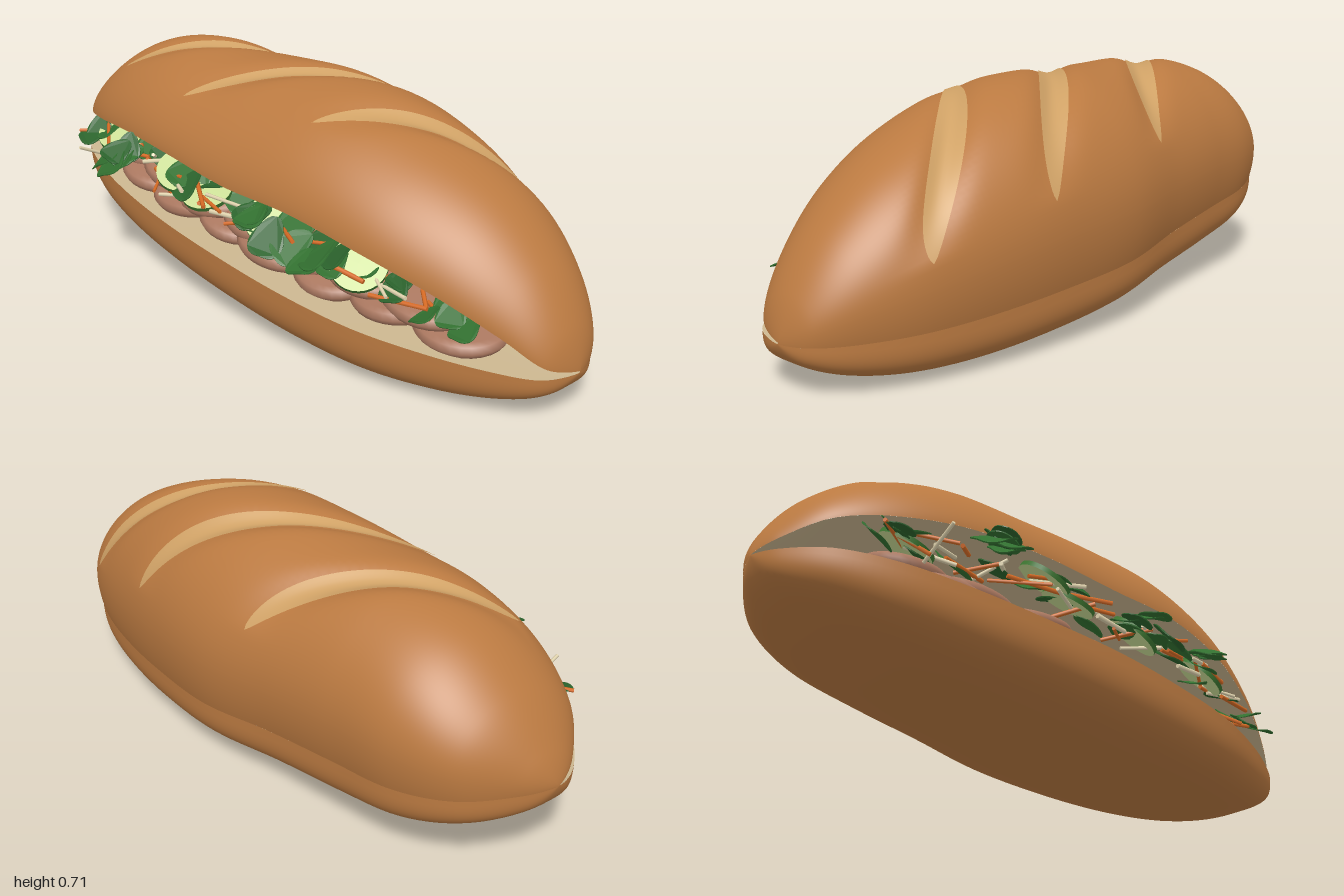
import * as THREE from 'three';

const mat = (name, color, side = THREE.FrontSide) => {
  const m = new THREE.MeshStandardMaterial({ color, side });
  m.name = name;
  return m;
};

// Loaf measurements at 13 stations spaced evenly by angle, x = -cos(pi t)
const LOAF = {
  top: [.31, .40, .53, .64, .69, .695, .71, .70, .635, .54, .41, .27, .15],
  lipTop: [.31, .34, .395, .43, .455, .455, .44, .44, .40, .335, .255, .18, .15],
  lipBase: [.31, .305, .30, .285, .265, .245, .228, .205, .185, .17, .158, .15, .145],
  seam: [.31, .30, .285, .265, .245, .22, .195, .18, .165, .155, .15, .147, .145],
  bottom: [.31, .24, .18, .125, .085, .055, .03, .01, .003, .015, .045, .09, .145],
  back: [0, -.10, -.24, -.32, -.35, -.38, -.425, -.42, -.39, -.34, -.265, -.18, -.085],
  front: [0, .08, .175, .24, .275, .29, .29, .27, .23, .16, .085, .015, -.085],
};
const { lerp, clamp } = THREE.MathUtils;

// Catmull-Rom lookup in one row of measurements
function at(row, t) {
  const f = clamp(t, 0, 1) * 12, i = Math.min(11, Math.floor(f)), w = f - i;
  const [a, b, c, d] = [row[Math.max(0, i - 1)], row[i], row[i + 1], row[Math.min(12, i + 2)]];
  return b + .5 * w * (c - a + w * (2 * a - 5 * b + 4 * c - d + w * (3 * (b - c) + d - a)));
}
function station(t) {
  const s = { x: -Math.cos(Math.PI * t), round: Math.sin(Math.PI * t) };
  for (const k in LOAF) s[k] = at(LOAF[k], t);
  s.baseFront = s.front + .03 * s.round;
  s.baseBack = s.back + .024 * s.round;
  return s;
}
const tAt = x => Math.acos(clamp(-x, -1, 1)) / Math.PI;

// Smooth grid surface from a rule (u, v) -> [x, y, z]
function surface(nu, nv, rule) {
  const pos = [], idx = [];
  for (let i = 0; i <= nu; i++) for (let j = 0; j <= nv; j++) {
    pos.push(...rule(i / nu, j / nv));
    if (i < nu && j < nv) {
      const a = i * (nv + 1) + j, b = a + nv + 1;
      idx.push(a, b, a + 1, b, b + 1, a + 1);
    }
  }
  const g = new THREE.BufferGeometry();
  g.setAttribute('position', new THREE.Float32BufferAttribute(pos, 3));
  g.setIndex(idx);
  g.computeVertexNormals();
  return g;
}

// Diagonal scores across the lid: x range and angle range over the arch
const SCORES = [
  { x0: -.69, x1: -.17, a0: .87, a1: 2.7 },
  { x0: -.30, x1: .33, a0: .75, a1: 2.85 },
  { x0: .20, x1: .71, a0: .95, a1: 2.9 },
];
const scoreX = (s, a) => lerp(s.x0, s.x1,
  (Math.cos(s.a0) - Math.cos(a)) / (Math.cos(s.a0) - Math.cos(s.a1)));

// Lid crust: angle 0 is the front lip, PI the widest back point, PI + .8 the back seam
function lidPoint(t, a, lift = 0) {
  const s = station(t), mid = (s.front + s.back) / 2 - .005;
  const wide = s.seam + .3 * (s.top - s.seam);
  if (a > Math.PI) {
    const e = (a - Math.PI) / .8;
    return [s.x, lerp(wide, s.seam, e), lerp(s.back, s.baseBack, e * e)];
  }
  const c = Math.cos(a), n = Math.max(0, Math.sin(a)), low = c > 0 ? s.lipTop : wide;
  let out = lift;
  for (const k of SCORES) {
    const p = (a - k.a0) / (k.a1 - k.a0);
    if (p <= 0 || p >= 1) continue;
    const d = (s.x - scoreX(k, a)) / .07;
    out -= .032 * Math.sin(Math.PI * p) * Math.exp(-d * d);
  }
  return [s.x, low + (s.top - low) * (c > 0 ? n ** 1.2 : n) + out * n,
    mid + (c > 0 ? s.front - mid : mid - s.back) * c + out * c];
}

// Base crust: a squared-off half oval from the back seam under to the front lip
function basePoint(t, v) {
  const s = station(t), a = Math.PI * (1 - v), c = Math.cos(a);
  const w = (Math.sign(c) * Math.abs(c) ** .56 + 1) / 2;
  const rim = lerp(s.seam, s.lipBase, w);
  return [s.x, rim - (rim - s.bottom) * Math.abs(Math.sin(a)) ** .64, lerp(s.baseBack, s.baseFront, w)];
}

export function createModel() {
  const root = new THREE.Group();
  root.name = 'sandwich';
  const crust = mat('crust', 0xbb7a41), scored = mat('scored crust', 0xd0a266);
  const crumb = mat('crumb', 0xcdb891), meatMat = mat('meat', 0xab7860);
  const leafMat = mat('leaf green', 0x327030, THREE.DoubleSide);
  const darkLeaf = mat('dark leaf green', 0x2b632c, THREE.DoubleSide);
  const flesh = mat('cucumber flesh', 0xc9dc94), rind = mat('cucumber rind', 0x3f7a33);
  const carrotMat = mat('carrot orange', 0xd96c25), radishMat = mat('radish cream', 0xe3d6b0);

  let seed = 7;
  const rnd = (a, b) => {
    seed = (seed * 16807) % 2147483647;
    return lerp(a, b, seed / 2147483647);
  };
  function add(name, geo, material, parent = root) {
    const m = new THREE.Mesh(geo, material);
    m.name = name;
    parent.add(m);
    return m;
  }
  function group(name) {
    const g = new THREE.Group();
    g.name = name;
    root.add(g);
    return g;
  }

  // Bread
  add('lidCrust', surface(150, 68, (u, v) => lidPoint(u, v * (Math.PI + .8))), crust);
  add('lidCrumb', surface(60, 8, (u, v) => {
    const s = station(u);
    return [s.x, lerp(s.seam, s.lipTop, v) + .03 * s.round * Math.sin(Math.PI * v), lerp(s.baseBack, s.front, v)];
  }), crumb);
  add('baseCrust', surface(80, 48, basePoint), crust);
  add('baseCrumb', surface(60, 8, (u, v) => {
    const s = station(u);
    return [s.x, lerp(s.lipBase, s.seam, v) - .012 * s.round * Math.sin(Math.PI * v), lerp(s.baseFront, s.baseBack, v)];
  }), crumb);
  for (const k of SCORES) add('score', surface(8, 48, (u, v) => {
    const a = lerp(k.a0, k.a1, v);
    const x = scoreX(k, a) + (2 * u - 1) * .062 * Math.sin(Math.PI * v) ** .7;
    return lidPoint(tAt(x), a, .005);
  }), scored);

  // Spot in the opening: h goes from base lip (0) to lid lip (1), out is past the lid edge
  function place(m, x, h, out) {
    const s = station(tAt(x));
    m.position.set(x, lerp(s.lipBase, s.lipTop, h), s.front + out);
    return m;
  }

  // Meat slices in two overlapping layers
  const meat = group('meat');
  const slice = new THREE.LatheGeometry([[0, -.5], [.8, -.5], [.93, -.36], [1, 0], [.93, .36], [.8, .5], [0, .5]]
    .map(p => new THREE.Vector2(...p)), 28);
  for (let i = 0; i < 15; i++) {
    const upper = i % 2, x = -.71 + i * .1;
    const m = place(add('meatSlice', slice, meatMat, meat), x, 0, upper ? rnd(-.165, -.13) : rnd(-.175, -.105));
    m.position.y += (upper ? .066 : .026) * (x > .6 ? .75 : 1);
    m.scale.set(rnd(.12, .15), .046, rnd(.1, .125));
    m.rotation.set(rnd(.04, .22), 0, -.09 + rnd(-.13, .13));
  }

  // Cucumber slices with dark rind
  const cucumbers = group('cucumbers');
  for (const [x, h, out] of [[-.66, .64, -.06], [-.24, .76, -.035], [-.14, .64, -.05], [.14, .66, -.06], [.46, .68, -.05]]) {
    const m = place(add('cucumberSlice', new THREE.CylinderGeometry(.08, .08, .014, 28), [rind, flesh, flesh], cucumbers), x, h, out);
    m.rotation.set(rnd(.35, .6), 0, rnd(-.45, -.15));
  }

  // Softly lobed, cupped herb leaves
  const outline = [];
  for (let i = 0; i < 24; i++) {
    const a = i / 24 * Math.PI * 2, r = .9 + .1 * Math.cos(3 * (a - Math.PI / 2));
    outline.push(new THREE.Vector2(r * Math.cos(a), r * Math.sin(a) * 1.1));
  }
  const leaf = new THREE.ExtrudeGeometry(new THREE.Shape(outline), { depth: .06, bevelEnabled: false });
  const lp = leaf.attributes.position;
  for (let i = 0; i < lp.count; i++) lp.setZ(i, lp.getZ(i) - .3 * lp.getX(i) ** 2 - .15 * lp.getY(i) ** 2);
  leaf.computeVertexNormals();
  const herbs = group('herbs');
  const addLeaf = (x, h, out, size) => {
    const m = place(add('herbLeaf', leaf, rnd(0, 1) < .7 ? leafMat : darkLeaf, herbs), x, h, out);
    m.scale.set(size, size * 1.1, size);
    m.rotation.set(-Math.PI / 2 + rnd(.2, .8), rnd(-.4, .4), rnd(-.5, .5));
  };
  for (const [x, reach, n] of [[-.72, .03, 3], [-.47, .095, 6], [-.2, .01, 3], [.1, .025, 4], [.22, .03, 3], [.4, .05, 4], [.63, .01, 2], [.74, .015, 2]])
    for (let i = 0; i < n; i++)
      addLeaf(x + rnd(-.06, .06), rnd(.64, .88), reach - i / n * .07, rnd(.046, .06) * (x > .6 ? .8 : 1));
  for (let i = 0; i < 13; i++)
    addLeaf(-.74 + i * .12, rnd(.66, .84), rnd(-.1, -.05), rnd(.05, .068) * (i > 10 ? .75 : 1));

  // Shredded carrot and radish
  const shreds = group('shreds');
  for (let i = 0; i < 38; i++) {
    const carrot = i % 5 < 3, r = rnd(.005, .007);
    const m = place(add(carrot ? 'carrotShred' : 'radishShred', new THREE.CylinderGeometry(r, r, rnd(.1, .18), 6),
      carrot ? carrotMat : radishMat, shreds), -.72 + i * .038, rnd(.46, .72), rnd(-.06, .005));
    m.rotation.set(rnd(-.5, .5), rnd(-.9, .9), Math.PI / 2 + rnd(-.3, .3));
  }
  const hanging = place(add('radishShred', new THREE.CylinderGeometry(.005, .005, .14, 6), radishMat, shreds), -.64, .45, .05);
  hanging.rotation.x = 1.1;
  return root;
}
